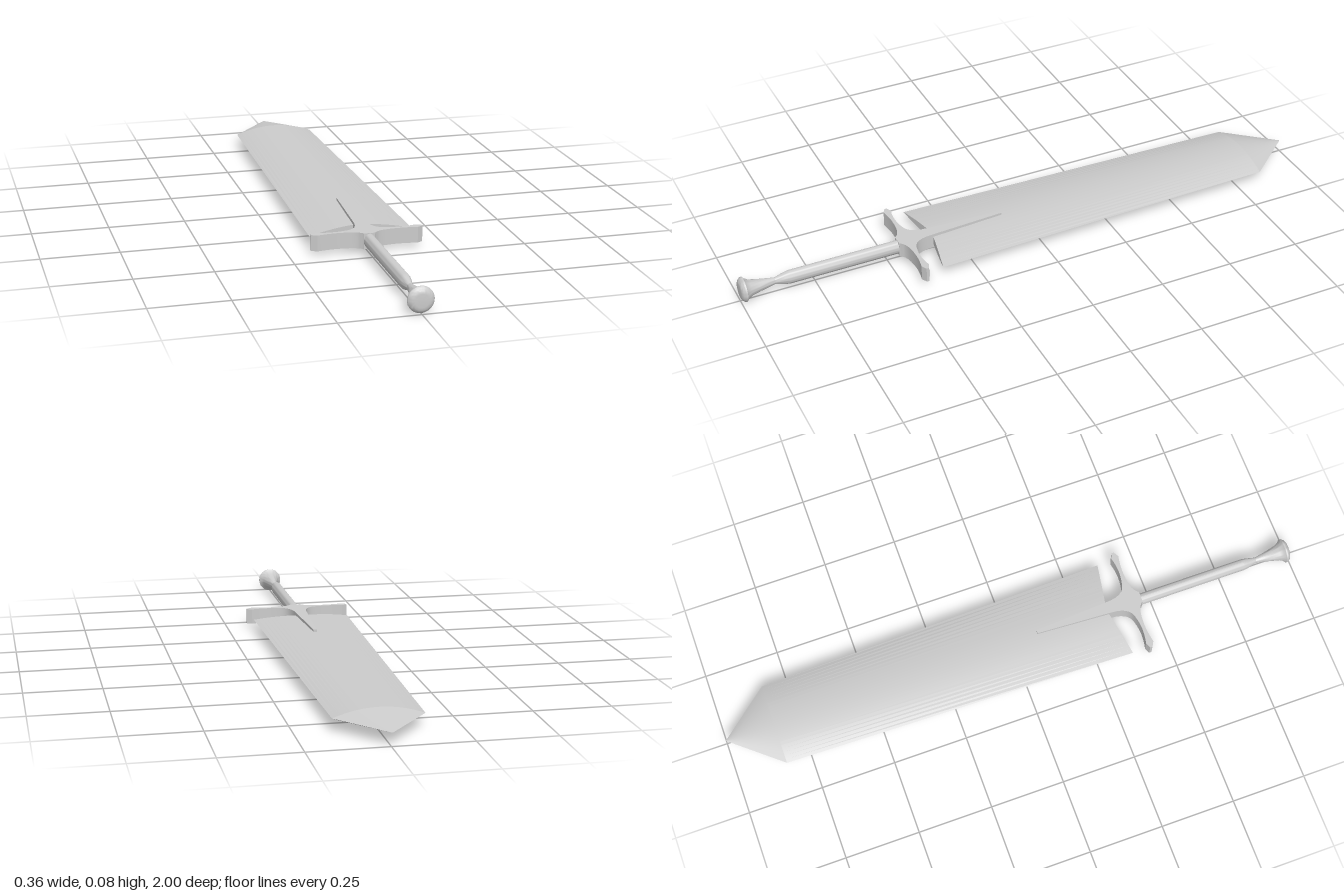
import * as THREE from 'three';
import { mergeGeometries, toCreasedNormals } from 'three/addons/utils/BufferGeometryUtils.js';

const MID = 0.042; // height of the sword's long axis
const SEG = 24; // steps across the blade

// One lens-shaped cross-section line of the blade, side = 1 (top) or -1 (bottom)
function lensRow(halfWidth, halfThick, z, sweep, side) {
  const row = [];
  for (let i = 0; i <= SEG; i++) {
    const u = (2 * i) / SEG - 1;
    row.push([u * halfWidth, side * halfThick * (1 - u * u), z + sweep * Math.abs(u)]);
  }
  return row;
}

// Strip of faces between two rows
function panel(a, b) {
  const pos = [];
  for (let i = 0; i < SEG; i++) {
    for (const p of [a[i], a[i + 1], b[i + 1], a[i], b[i + 1], b[i]]) pos.push(...p);
  }
  const geo = new THREE.BufferGeometry();
  geo.setAttribute('position', new THREE.Float32BufferAttribute(pos, 3));
  return geo;
}

function bladeGeometry() {
  const rows = (side) => [
    lensRow(0.168, 0.016, 0.338, 0.032, side), // notched base
    lensRow(0.14, 0.027, -0.833, 0, side), // shoulders
    lensRow(0, 0, -1, 0, side), // tip
  ];
  const top = rows(1);
  const bottom = rows(-1);
  const parts = [panel(bottom[0], top[0])];
  for (let i = 0; i < 2; i++) {
    parts.push(panel(top[i], top[i + 1]), panel(bottom[i + 1], bottom[i]));
  }
  return toCreasedNormals(mergeGeometries(parts), 0.1);
}

// Crossguard with its long spike, outlined in x and z
function guardGeometry() {
  const half = new THREE.Path();
  half.moveTo(0.006, 0.09);
  half.lineTo(0.02, 0.345);
  half.quadraticCurveTo(0.022, 0.41, 0.06, 0.418);
  half.quadraticCurveTo(0.11, 0.432, 0.163, 0.418);
  half.lineTo(0.181, 0.426);
  half.lineTo(0.181, 0.434);
  half.lineTo(0.163, 0.444);
  half.quadraticCurveTo(0.11, 0.432, 0.06, 0.44);
  half.quadraticCurveTo(0.03, 0.444, 0.018, 0.462);
  const right = half.getPoints(6);
  const left = right.map((p) => new THREE.Vector2(-p.x, p.y)).reverse();
  const shape = new THREE.Shape([...right, ...left]);
  const geo = new THREE.ExtrudeGeometry(shape, { depth: 0.052, bevelEnabled: false });
  geo.rotateX(Math.PI / 2).translate(0, MID + 0.026, 0);
  return toCreasedNormals(geo, 0.45);
}

// Turned part along z from [radius, z] pairs, narrowed in x by a rule of z
function turned(profile, narrow) {
  const geo = new THREE.LatheGeometry(profile.map(([r, z]) => new THREE.Vector2(r, z)), 32);
  geo.rotateX(Math.PI / 2);
  const pos = geo.attributes.position;
  for (let i = 0; i < pos.count; i++) pos.setX(i, pos.getX(i) * narrow(pos.getZ(i)));
  geo.translate(0, MID, 0);
  return toCreasedNormals(geo, 0.5);
}

export function createModel() {
  const model = new THREE.Group();
  model.name = 'sword';
  const material = new THREE.MeshStandardMaterial({ color: 0xcccccc });
  const add = (name, geo) => {
    const mesh = new THREE.Mesh(geo, material);
    mesh.name = name;
    model.add(mesh);
    return mesh;
  };

  const blade = add('blade', bladeGeometry());
  blade.position.set(-0.003, MID, 0);

  add('crossguard', guardGeometry());

  // Oval grip tapering into the neck
  add('grip', turned([[0, 0.44], [0.024, 0.44], [0.024, 0.835], [0.021, 0.85], [0.012, 0.882]], () => 0.77));

  // Flared pommel, oval at the neck and round at the end
  add('pommel', turned(
    [[0.012, 0.882], [0.016, 0.905], [0.021, 0.935], [0.027, 0.965], [0.034, 0.977],
      [0.041, 0.983], [0.041, 0.988], [0.036, 0.995], [0.029, 0.999], [0.021, 1], [0, 1]],
    (z) => THREE.MathUtils.lerp(0.77, 1, THREE.MathUtils.smoothstep(z, 0.882, 0.965)),
  ));

  return model;
}
